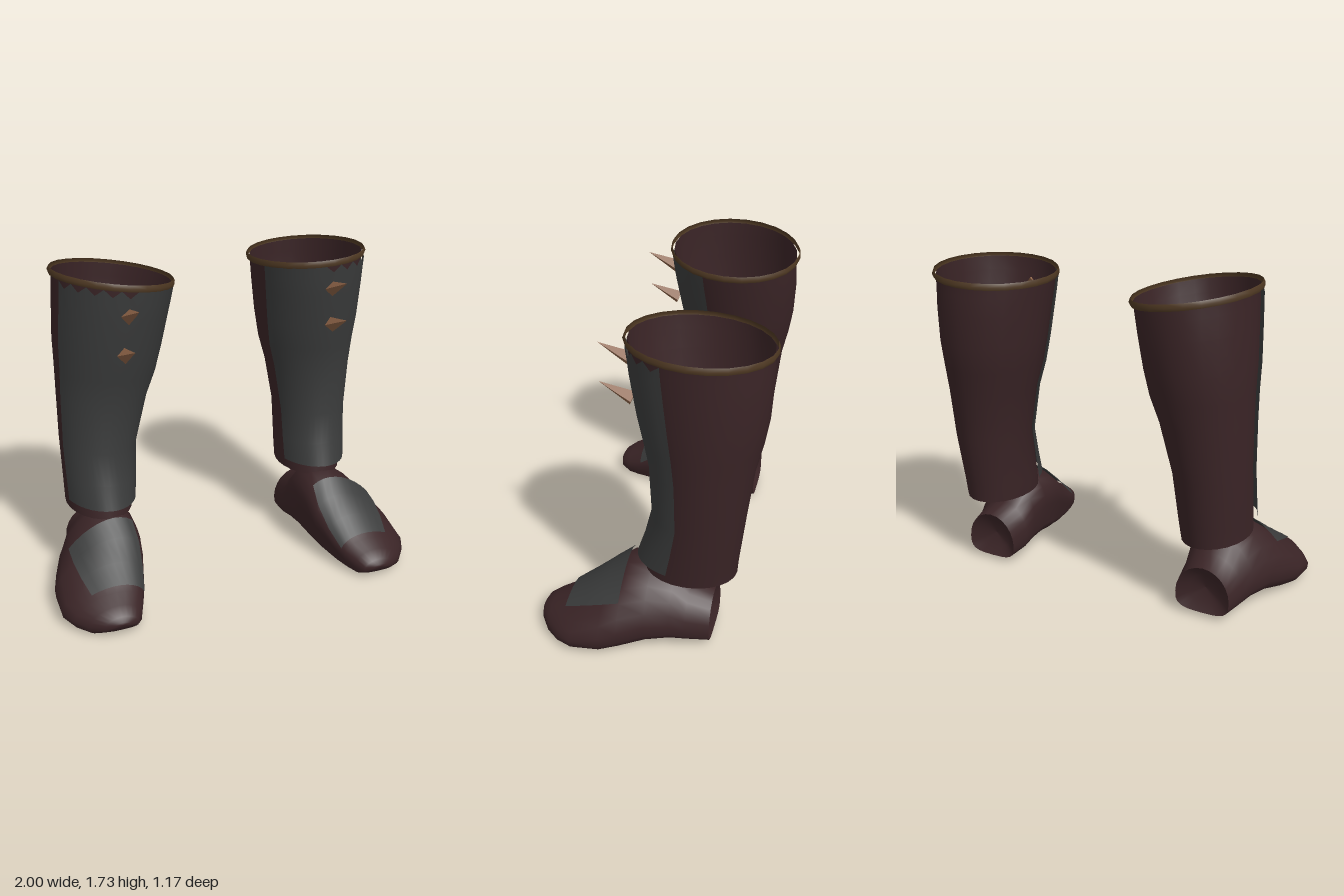
import * as THREE from 'three';

const mat = (name, color) => new THREE.MeshStandardMaterial({ name, color, side: THREE.DoubleSide });
const lerp = THREE.MathUtils.lerp;

// Surface through rows of [x, y, z] points; closed rows wrap around
function loft(rows, closed) {
  const n = rows[0].length, idx = [];
  for (let i = 0; i < rows.length - 1; i++) {
    for (let j = 0; j < (closed ? n : n - 1); j++) {
      const k = (j + 1) % n, a = i * n + j, b = i * n + k, c = a + n, d = b + n;
      idx.push(a, b, d, a, d, c);
    }
  }
  const g = new THREE.BufferGeometry();
  g.setAttribute('position', new THREE.Float32BufferAttribute(rows.flat(2), 3));
  g.setIndex(idx);
  g.computeVertexNormals();
  return g;
}

// Reflect a geometry across x = 0 and restore its winding
function mirror(g) {
  g.scale(-1, 1, 1);
  const ix = g.index.array;
  for (let i = 0; i < ix.length; i += 3) [ix[i], ix[i + 1]] = [ix[i + 1], ix[i]];
  g.computeVertexNormals();
  return g;
}

// Interpolate a table of sections by its first column
function sample(table, v) {
  let i = 0;
  while (i < table.length - 2 && v > table[i + 1][0]) i++;
  const f = (v - table[i][0]) / (table[i + 1][0] - table[i][0]);
  return table[i].map((p, k) => lerp(p, table[i + 1][k], f));
}

// Leg sections: y, inner x, outer x, back z, front z
const LEG = [
  [0.41, 0.475, 0.83, -0.43, 0.045], [0.5, 0.47, 0.838, -0.437, 0.03],
  [0.77, 0.465, 0.862, -0.468, -0.015], [1.04, 0.415, 0.882, -0.50, 0.0],
  [1.18, 0.375, 0.892, -0.532, 0.03], [1.32, 0.352, 0.905, -0.555, 0.06],
  [1.5, 0.33, 0.912, -0.565, 0.09], [1.6, 0.318, 0.915, -0.562, 0.105],
  [1.67, 0.31, 0.918, -0.56, 0.11],
];

// Point on the leg at height y and angle a from the front, grown by dx, dz
function legPoint(y, a, dx = 0, dz = 0, lift = 0) {
  const [, x0, x1, z0, z1] = sample(LEG, y);
  const x = (x0 + x1) / 2 + ((x1 - x0) / 2 + dx) * Math.sin(a);
  const z = (z0 + z1) / 2 + ((z1 - z0) / 2 + dz) * Math.cos(a);
  const tilt = THREE.MathUtils.smoothstep(y, 1.4, 1.67);
  return [x, y + lift + tilt * (0.06 * (x - 0.61) + 0.04 * (z + 0.22)), z];
}
const around = (n, f) => Array.from({ length: n }, (_, j) => f((j / n) * Math.PI * 2));

// Foot sections: z, inner x, outer x, sole y, top y, x of the ridge
const FOOT = [
  [-0.32, 0.51, 0.81, 0.025, 0.28, 0.66], [-0.2, 0.50, 0.84, 0.03, 0.315, 0.65],
  [-0.12, 0.50, 0.87, 0.04, 0.395, 0.64], [0, 0.505, 0.92, 0.04, 0.435, 0.64],
  [0.13, 0.525, 0.97, 0.01, 0.41, 0.64], [0.22, 0.54, 1.0, 0, 0.34, 0.66],
  [0.37, 0.57, 1.0, 0, 0.225, 0.71], [0.45, 0.595, 0.96, 0, 0.175, 0.73],
  [0.52, 0.62, 0.90, 0.005, 0.145, 0.74], [0.57, 0.65, 0.83, 0.035, 0.11, 0.74],
  [0.585, 0.70, 0.78, 0.06, 0.085, 0.74],
];

// Egg-shaped foot section with a flat sole
function footPoint(z, t, grow = 0) {
  const [, x0, x1, y0, y1, xTop] = sample(FOOT, z);
  const c = Math.cos(t), s = Math.sin(t), cx = (x0 + x1) / 2, w = (x1 - x0) / 2 + grow;
  const ym = lerp(y0, y1, 0.35), flat = (v) => Math.sign(v) * Math.abs(v) ** 0.6;
  if (s < 0) return [cx + w * flat(c), ym + (ym - y0) * flat(s), z];
  return [cx + w * c + (xTop - cx) * s, ym + (y1 - ym + grow) * s + grow * 0.4, z];
}

function makeSpike(x, y) {
  const base = new THREE.Vector3(x, y - 0.02, 0.1), tip = new THREE.Vector3(x, y + 0.05, 0.265);
  const dir = tip.clone().sub(base);
  const g = new THREE.ConeGeometry(0.04, dir.length(), 4);
  g.applyQuaternion(new THREE.Quaternion().setFromUnitVectors(new THREE.Vector3(0, 1, 0), dir.normalize()));
  return g.translate(x, y + 0.015, 0.1825);
}

export function createModel() {
  const model = new THREE.Group();
  model.name = 'armouredBoots';
  const leather = mat('darkLeather', 0x3a2426);
  const plate = mat('greyPlate', 0x3a3b3b);
  const trim = mat('bronzeTrim', 0x4e3822);
  const horn = mat('spikeHorn', 0x8c6246);
  horn.flatShading = true;

  for (const side of [1, -1]) {
    const boot = new THREE.Group(), leg = new THREE.Group();
    boot.name = side > 0 ? 'leftBoot' : 'rightBoot';
    leg.name = 'leg';
    const add = (parent, name, g, m) => {
      const mesh = new THREE.Mesh(side < 0 ? mirror(g) : g, m);
      mesh.name = name;
      parent.add(mesh);
    };

    // Open leather shaft
    add(leg, 'shaft', loft(LEG.map(([y]) => around(24, (a) => legPoint(y, a))), true), leather);

    // Bronze band round the opening
    add(leg, 'rim', loft([[0.014, -0.016], [0.02, 0], [0.012, 0.018]].map(([d, lift]) =>
      around(24, (a) => legPoint(1.67, a, d, d, lift))), true), trim);

    // Shin plate, flared at the bottom with a notched top edge
    const shin = [[0.475, 0.05], [0.6, 0.03], [0.77, 0.016], [1.04, 0.014],
      [1.18, 0.014], [1.32, 0.014], [1.5, 0.014], [1.58, 0.012], [1.655, 0.012]];
    add(leg, 'shinPlate', loft(shin.map(([y, dz], i) => Array.from({ length: 19 }, (_, j) => {
      const a = (j / 9 - 1) * 1.22;
      const notch = i === shin.length - 1 && j > 8 && j % 2 ? -0.035 : 0;
      return legPoint(y, a, 0.016, dz, notch);
    })), false), plate);

    // Two spikes on the shin
    add(leg, 'upperSpike', makeSpike(0.615, 1.56), horn);
    add(leg, 'lowerSpike', makeSpike(0.625, 1.36), horn);

    // The right leg leans inward and stands slightly further forward
    if (side < 0) {
      const lean = new THREE.Group();
      lean.name = 'legLean';
      leg.position.set(0.65, -0.45, 0);
      lean.position.set(-0.65, 0.45, 0.062);
      lean.rotation.z = -0.08;
      lean.add(leg);
      boot.add(lean);
    } else boot.add(leg);

    // Foot with a closed toe
    const rows = FOOT.map(([z]) => around(24, (t) => footPoint(z, t)));
    rows.push(around(24, () => [0.74, 0.073, 0.587]));
    add(boot, 'foot', loft(rows, true), leather);

    // Shallow hollow at the cut heel
    const heel = [[0, -0.27], [0.6, -0.285], [1, -0.32]].map(([f, z]) => around(24, (t) => {
      const p = footPoint(-0.32, t);
      return [lerp(0.66, p[0], f), lerp(0.15, p[1], f), z];
    }));
    add(boot, 'heelHollow', loft(heel, true), leather);

    // Instep plate over the top of the foot
    const instep = [0, 0.3, 0.65, 1].map((f) => Array.from({ length: 10 }, (_, j) => {
      const t = lerp(lerp(0.17, 0.3, f), lerp(0.66, 0.84, f), j / 9) * Math.PI;
      return footPoint(lerp(0.13, 0.43, f), t, 0.012);
    }));
    add(boot, 'instepPlate', loft(instep, false), plate);
    model.add(boot);
  }
  return model;
}
